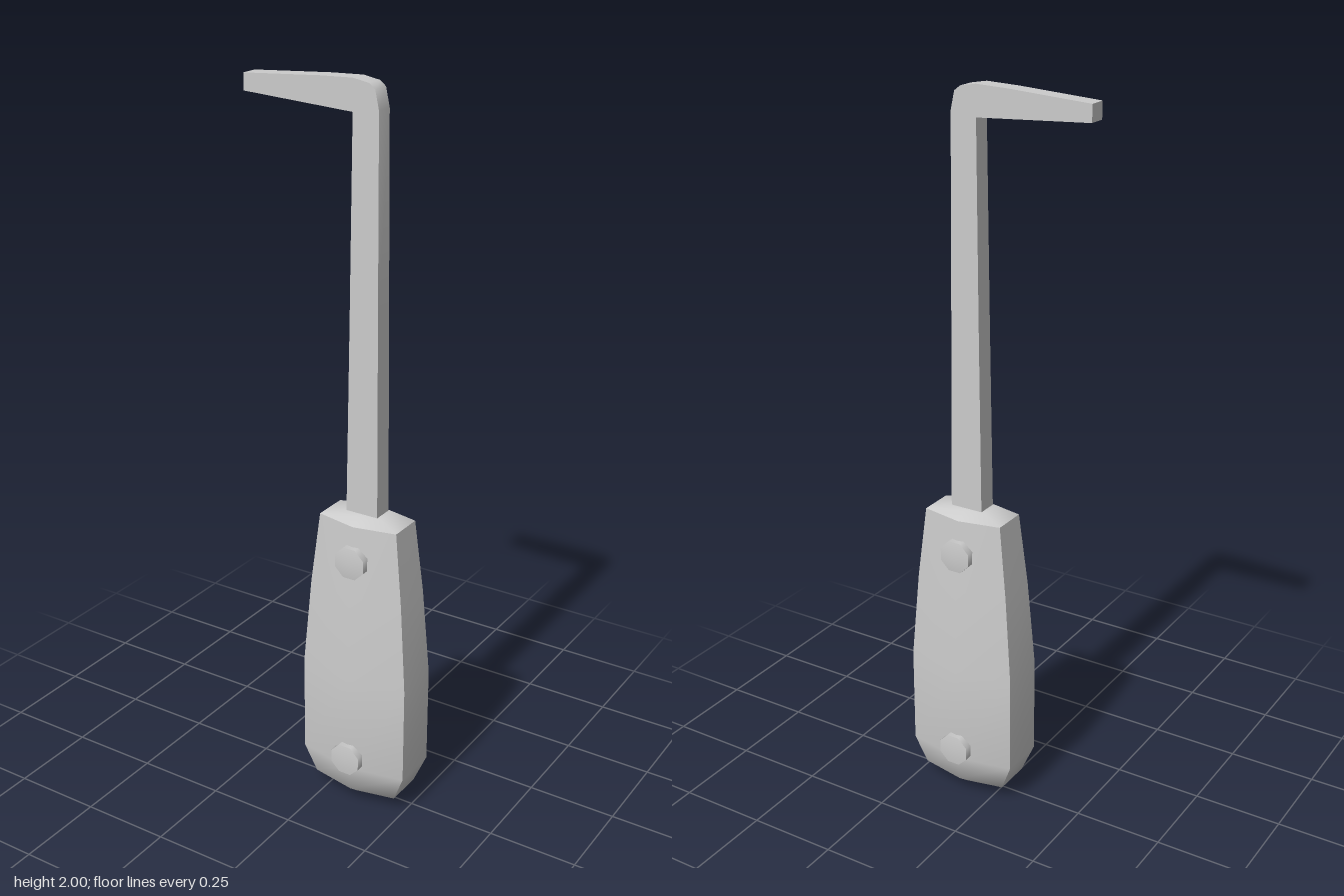
import * as THREE from 'three';
import { toCreasedNormals } from 'three/addons/utils/BufferGeometryUtils.js';

const AXIS_X = 0.096; // centre line of the handle and shaft

// Six-sided loft; each row is [y, half width, corner depth, middle depth]
function hexLoft(rows) {
  const pos = [], idx = [], n = 6;
  for (const [y, w, c, m] of rows) {
    pos.push(w, y, c, w, y, -c, 0, y, -m, -w, y, -c, -w, y, c, 0, y, m);
  }
  for (let r = 0; r < rows.length - 1; r++) {
    for (let i = 0; i < n; i++) {
      const a = r * n + i, b = r * n + (i + 1) % n;
      idx.push(a, b, b + n, a, b + n, a + n);
    }
  }
  // end caps
  const last = (rows.length - 1) * n, bottom = pos.length / 3, top = bottom + 1;
  pos.push(0, 0, 0, 0, rows[rows.length - 1][0], 0);
  for (let i = 0; i < n; i++) {
    const j = (i + 1) % n;
    idx.push(bottom, j, i, top, last + i, last + j);
  }
  const g = new THREE.BufferGeometry();
  g.setAttribute('position', new THREE.Float32BufferAttribute(pos, 3));
  g.setIndex(idx);
  return toCreasedNormals(g, THREE.MathUtils.degToRad(50));
}

export function createModel() {
  const model = new THREE.Group();
  model.name = 'hookTool';
  const material = new THREE.MeshStandardMaterial({ color: 0xcccccc });
  const add = (name, geometry) => {
    const mesh = new THREE.Mesh(geometry, material);
    mesh.name = name;
    model.add(mesh);
    return mesh;
  };

  // Tapered handle with a rounded butt and a bevelled collar
  add('handle', hexLoft([
    [0.012, 0.06, 0.03, 0.045],
    [0.04, 0.128, 0.055, 0.08],
    [0.12, 0.161, 0.066, 0.097],
    [0.4, 0.161, 0.066, 0.097],
    [0.65, 0.141, 0.058, 0.086],
    [0.855, 0.1175, 0.049, 0.073],
    [0.875, 0.058, 0.03, 0.04],
  ])).position.x = AXIS_X;

  // Bent shaft: one outline for rod and hook, thinning towards the top
  const outline = [
    [0.048, 0.82], [0.144, 0.82], [0.138, 1.4], [0.133, 1.93], [0.122, 1.979],
    [0.105, 1.992], [0.06, 2.0], [-0.03, 1.997], [-0.257, 1.983], [-0.257, 1.939], [0.06, 1.92], [0.055, 1.4],
  ].map(([x, y]) => new THREE.Vector2(x, y));
  const shaft = new THREE.ExtrudeGeometry(new THREE.Shape(outline), { depth: 1, bevelEnabled: false });
  shaft.translate(0, 0, -0.5);
  const p = shaft.attributes.position;
  for (let i = 0; i < p.count; i++) {
    const t = Math.min(1, Math.max(0, (p.getY(i) - 0.87) / 1.05));
    p.setZ(i, Math.sign(p.getZ(i)) * THREE.MathUtils.lerp(0.029, 0.0245, t));
  }
  add('shaftAndHook', toCreasedNormals(shaft, THREE.MathUtils.degToRad(45)));

  // Domed eight-sided rivets, two on each face
  const rivet = (rim, peak) => {
    const profile = [[0, 0.04], [0.047, 0.04], [0.047, rim], [0, peak]]
      .map(([r, h]) => new THREE.Vector2(r, h));
    const g = new THREE.LatheGeometry(profile, 8, Math.PI / 8).rotateX(Math.PI / 2);
    return toCreasedNormals(g, THREE.MathUtils.degToRad(50));
  };
  for (const [label, y, rim, peak] of [['upper', 0.755, 0.0915, 0.0985], ['lower', 0.153, 0.1105, 0.1165]]) {
    for (const [side, turn] of [['Front', 0], ['Back', Math.PI]]) {
      const mesh = add(label + 'Rivet' + side, rivet(rim, peak));
      mesh.position.set(AXIS_X, y, 0);
      mesh.rotation.y = turn;
    }
  }
  return model;
}
